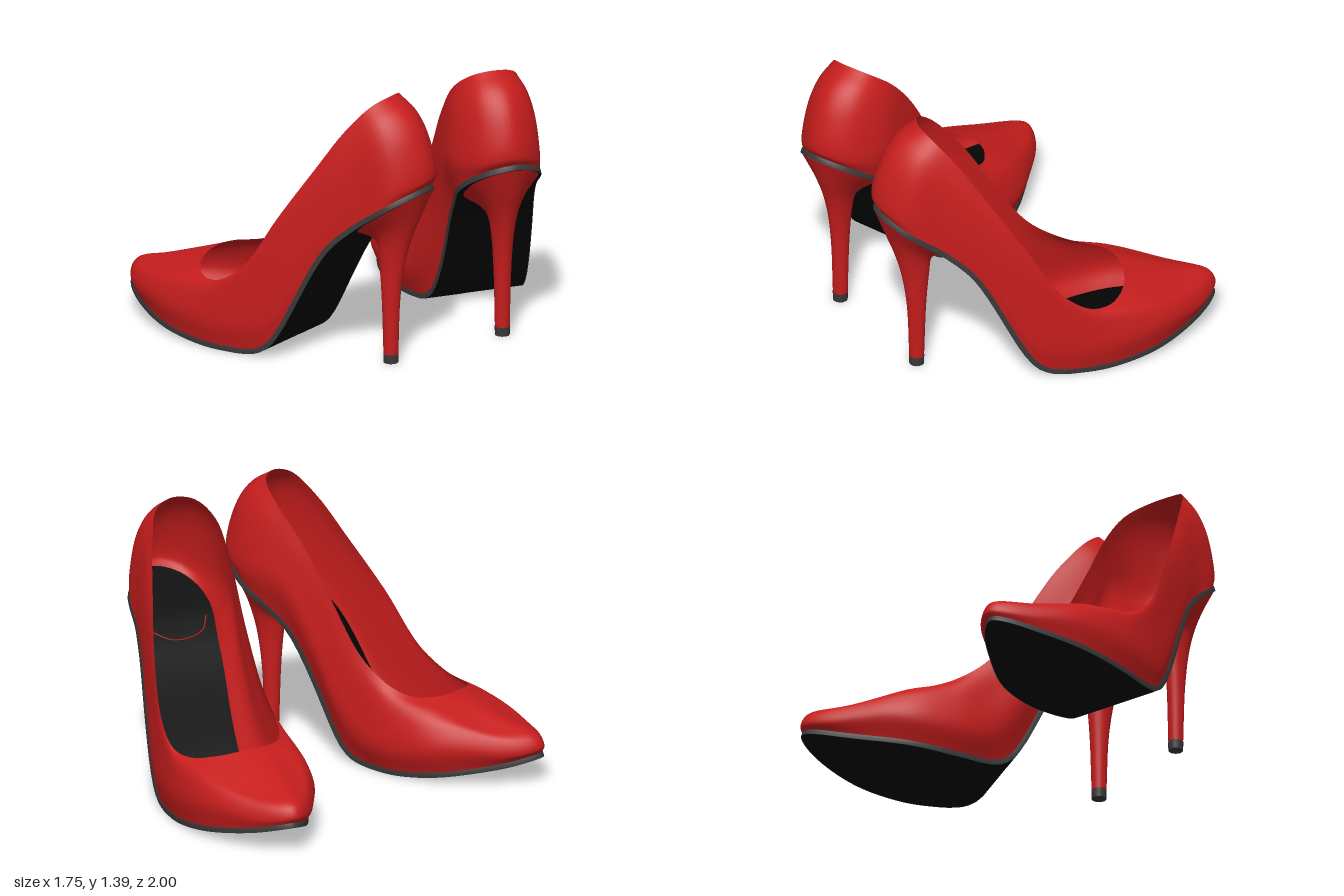
import * as THREE from 'three';

const paint = (name, color) => {
  const m = new THREE.MeshStandardMaterial({ color, side: THREE.DoubleSide });
  m.name = name;
  return m;
};
const V = (x, y, z) => new THREE.Vector3(x, y, z);
const { lerp, smoothstep } = THREE.MathUtils;

// Side profile of the sole: length along the shoe, height
const solePoints = new THREE.SplineCurve([
  [-0.92, 0.14], [-0.75, 0.085], [-0.5, 0.035], [-0.25, 0.005], [-0.08, 0], [0, 0.004],
  [0.07, 0.02], [0.14, 0.07], [0.21, 0.175], [0.295, 0.345], [0.37, 0.495], [0.45, 0.622],
  [0.57, 0.735], [0.68, 0.815], [0.79, 0.89], [0.89, 0.958],
].map(p => new THREE.Vector2(...p))).getPoints(300);

function soleY(u) {
  let i = 1;
  while (i < solePoints.length - 1 && solePoints[i].x < u) i++;
  const a = solePoints[i - 1], b = solePoints[i];
  return a.y + (b.y - a.y) * (u - a.x) / (b.x - a.x);
}

// Widest plan outline (length, side), from the toe tip along the outer side to the heel and back
const outlinePlan = [
  [-0.906, 0.002], [-0.863, 0.088], [-0.70, 0.22], [-0.5, 0.318], [-0.27, 0.354], [-0.06, 0.337],
  [0.15, 0.295], [0.37, 0.23], [0.58, 0.165], [0.77, 0.115], [0.868, -0.045], [0.81, -0.195],
  [0.64, -0.284], [0.46, -0.285], [0.25, -0.26], [0.03, -0.28], [-0.2, -0.32], [-0.44, -0.31],
  [-0.67, -0.203], [-0.85, -0.083],
];

// Edge of the foot opening (length, height, side), matching the outline point by point
const topline = [
  [-0.405, 0.4, -0.03], [-0.4, 0.39, 0.08], [-0.36, 0.37, 0.19], [-0.27, 0.35, 0.28],
  [-0.15, 0.367, 0.318], [0, 0.475, 0.312], [0.17, 0.745, 0.268], [0.35, 1.025, 0.19],
  [0.48, 1.225, 0.128], [0.585, 1.355, 0.055], [0.627, 1.39, -0.05], [0.6, 1.372, -0.165],
  [0.5, 1.29, -0.232], [0.35, 1.115, -0.24], [0.18, 0.845, -0.235], [0, 0.575, -0.24],
  [-0.17, 0.445, -0.235], [-0.29, 0.402, -0.2], [-0.365, 0.4, -0.14], [-0.395, 0.4, -0.085],
];

const closedLoop = pts => new THREE.CatmullRomCurve3(pts, true).getPoints(120).slice(0, -1);

// Adds smooth rows between a few key rows
function smoothRows(rows, steps) {
  const columns = rows[0].map((_, i) => new THREE.CatmullRomCurve3(rows.map(r => r[i])).getPoints(steps));
  return Array.from({ length: steps + 1 }, (_, k) => columns.map(c => c[k]));
}

// Skins closed rows; side -1 mirrors the result
function skin(rows, side) {
  const n = rows[0].length, pos = [], index = [];
  rows.forEach(r => r.forEach(p => pos.push(p.x, p.y, p.z * side)));
  for (let k = 0; k < rows.length - 1; k++) {
    for (let i = 0; i < n; i++) {
      const a = k * n + i, b = k * n + (i + 1) % n, c = a + n, d = b + n;
      if (side > 0) index.push(a, b, c, b, d, c);
      else index.push(a, c, b, b, c, d);
    }
  }
  const g = new THREE.BufferGeometry();
  g.setAttribute('position', new THREE.Float32BufferAttribute(pos, 3));
  g.setIndex(index);
  g.computeVertexNormals();
  return g;
}

// Sole width against the outline: tucked in under the inner arch, full at the heel
function soleWidth(u, v) {
  if (v > 0) return lerp(0.9, 0.98, smoothstep(u, 0, 0.4));
  return lerp(0.9, 0.79, smoothstep(u, -0.3, 0.35)) + 0.2 * smoothstep(u, 0.42, 0.76);
}

function makeShoe(side, mats) {
  const shoe = new THREE.Group();
  const add = (name, geometry, material) => {
    const m = new THREE.Mesh(geometry, material);
    m.name = name;
    shoe.add(m);
    return m;
  };

  // Height of the widest line above the sole; higher over the inner arch
  const outline = closedLoop(outlinePlan.map(([u, v]) => V(u, 0, v)));
  for (const p of outline) {
    const rise = lerp(0.05, 0.14, smoothstep(p.x, -0.9, -0.5)) - 0.08 * smoothstep(p.x, 0.6, 0.86);
    const arch = smoothstep(p.x, -0.1, 0.25) * (1 - smoothstep(p.x, 0.35, 0.7)) * smoothstep(-p.z, 0, 0.2);
    p.y = soleY(p.x) + rise + 0.15 * arch;
  }
  const top = closedLoop(topline.map(p => V(...p)));

  // Loop around the sole, lifted square to its profile and widened a little
  const edge = (lift, grow) => outline.map(p => {
    const u = p.x * (0.99 + grow * 0.4), slope = (soleY(u + 0.01) - soleY(u - 0.01)) / 0.02;
    const k = lift / Math.hypot(1, slope);
    return V(u - slope * k, soleY(u) + k, p.z * (soleWidth(p.x, p.z) + grow) + 0.01);
  });
  const middle = loop => loop.map(p => V(p.x, p.y, -0.05 * smoothstep(p.x, -0.3, 0.7)));

  // Upper: steep walls at the sides and heel, a low rounded toe box
  const between = (toe, wall) => outline.map((p, i) => {
    const w = smoothstep(p.x, -0.9, -0.45), t = top[i];
    const plan = lerp(toe[0], wall[0], w), high = lerp(toe[1], wall[1], w);
    return V(lerp(p.x, t.x, plan), lerp(p.y, t.y, high), lerp(p.z, t.z, plan));
  });
  const upperRows = [edge(0.026, 0), outline, between([0.06, 0.27], [0.22, 0.53]),
    between([0.35, 0.49], [0.55, 0.82]), top];
  add('upper', skin(smoothRows(upperRows, 28), side), mats.red);

  // Sole, welt and insole
  const bottom = edge(0, 0), inner = edge(0.034, 0);
  add('sole', skin([middle(bottom), bottom], side), mats.black);
  add('welt', skin([bottom, edge(0, 0.012), edge(0.026, 0.012), edge(0.026, 0)], side), mats.grey);
  add('insole', skin([inner, middle(inner)], side), mats.black);

  // Fine seam across the insole in front of the heel
  const seam = [[0.556, -0.205], [0.5, -0.16], [0.477, -0.08], [0.478, 0.02], [0.52, 0.11]]
    .map(([u, v]) => V(u, soleY(u) + 0.047, v * side));
  add('insoleSeam', new THREE.TubeGeometry(new THREE.CatmullRomCurve3(seam), 32, 0.003, 6), mats.red);

  // Heel stem: centre length, height, centre side, half length, half width, tilt towards the sole slope;
  // the front of the flared seat is squarer than its back
  const rings = [
    [0.647, 0.045, -0.034, 0.037, 0.037, 0], [0.648, 0.35, -0.034, 0.049, 0.044, 0],
    [0.655, 0.54, -0.036, 0.072, 0.055, 0.1], [0.667, 0.65, -0.04, 0.096, 0.074, 0.35],
    [0.68, 0.727, -0.045, 0.13, 0.108, 0.8], [0.68, soleY(0.68) - 0.002, -0.046, 0.18, 0.178, 1],
  ].map(([u, y, v, ru, rv, tilt]) => Array.from({ length: 48 }, (_, i) => {
    const a = i / 48 * Math.PI * 2, c = Math.cos(a), s = Math.sin(a);
    const power = c > 0 ? 1 - 0.35 * tilt : 1;
    const x = u - ru * Math.sign(c) * Math.abs(c) ** power;
    return V(x, y + tilt * (soleY(x) - soleY(u)), v + rv * Math.sign(s) * Math.abs(s) ** power);
  }));
  add('heelStem', skin(smoothRows(rings, 30), side), mats.red);

  const tip = add('heelTip', new THREE.CylinderGeometry(0.038, 0.037, 0.046, 32), mats.grey);
  tip.position.set(0.647, 0.023, -0.034 * side);
  return shoe;
}

export function createModel() {
  const mats = {
    red: paint('red leather', 0xc61d1d),
    black: paint('black sole', 0x040404),
    grey: paint('dark grey trim', 0x383838),
  };
  const model = new THREE.Group();
  model.name = 'pairOfHighHeels';

  const front = makeShoe(1, mats);
  front.name = 'frontShoe';
  front.rotation.y = THREE.MathUtils.degToRad(14);
  front.position.set(0, 0, 0.565);

  const back = makeShoe(-1, mats);
  back.name = 'backShoe';
  back.rotation.y = THREE.MathUtils.degToRad(-18.5);
  back.position.set(0.063, 0, -0.545);

  model.add(front, back);
  return model;
}
